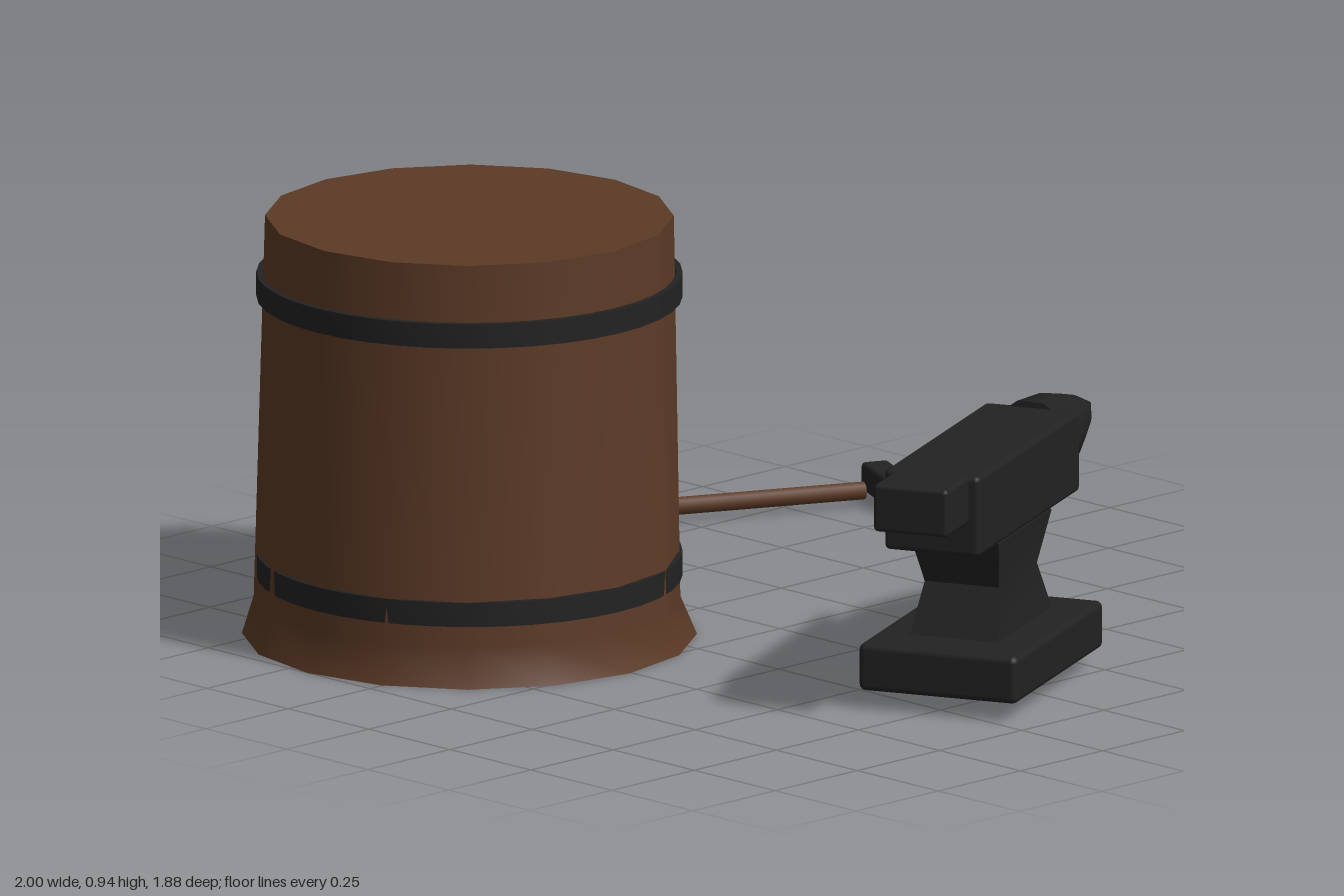
import * as THREE from 'three';
import { toCreasedNormals } from 'three/addons/utils/BufferGeometryUtils.js';
import { RoundedBoxGeometry } from 'three/addons/geometries/RoundedBoxGeometry.js';

const wood = new THREE.MeshStandardMaterial({ color: 0x5c3a26 });
wood.name = 'wood brown';
const iron = new THREE.MeshStandardMaterial({ color: 0x222222 });
iron.name = 'dark iron';

function add(parent, name, geometry, material, x = 0, y = 0, z = 0) {
  const mesh = new THREE.Mesh(geometry, material);
  mesh.name = name;
  mesh.position.set(x, y, z);
  parent.add(mesh);
  return mesh;
}

const lathe = (points, sides) =>
  new THREE.LatheGeometry(points.map(([r, y]) => new THREE.Vector2(r, y)), sides);

// Flared stump with 16 sides, slightly uneven just above the foot
function makeStump() {
  const stump = new THREE.Group();
  stump.name = 'stump';
  const bark = lathe([[0.493, 0.005], [0.459, 0.09], [0.443, 0.94]], 16);
  const p = bark.attributes.position;
  for (let i = 0; i < p.count; i++) {
    const y = p.getY(i);
    if (y < 0.05 || y > 0.5) continue;
    const a = Math.atan2(p.getX(i), p.getZ(i));
    const k = 1 + 0.009 * Math.sin(a * 5) + 0.007 * (1 - Math.cos(a));
    p.setXYZ(i, p.getX(i) * k, y, p.getZ(i) * k);
  }
  add(stump, 'stumpSide', bark, wood);
  add(stump, 'stumpTop', new THREE.CircleGeometry(0.443, 16), wood, 0, 0.94, 0).rotation.x = -Math.PI / 2;
  add(stump, 'stumpBottom', new THREE.CircleGeometry(0.493, 16), wood, 0, 0.005, 0).rotation.x = Math.PI / 2;

  // Iron hoops
  const h = 0.027;
  const hoop = toCreasedNormals(
    lathe([[0.448, -h], [0.462, -h], [0.462, h], [0.448, h], [0.448, -h]], 40), 0.6);
  add(stump, 'lowerBand', hoop, iron, 0, 0.164, 0);
  add(stump, 'upperBand', hoop, iron, 0, 0.787, 0);
  stump.position.set(-0.508, 0, -0.443);
  return stump;
}

function makeAnvil() {
  const anvil = new THREE.Group();
  anvil.name = 'anvil';
  add(anvil, 'anvilFoot', new RoundedBoxGeometry(0.545, 0.106, 0.367, 2, 0.015), iron, 0, 0.098, 0);
  add(anvil, 'anvilBody', new RoundedBoxGeometry(0.63, 0.18, 0.22, 2, 0.012), iron, 0.008, 0.466, 0);
  add(anvil, 'anvilHeel', new RoundedBoxGeometry(0.22, 0.106, 0.172, 2, 0.01), iron, -0.33, 0.503, 0);

  // Pinched waist: a box narrowed at its middle
  const waist = new THREE.BoxGeometry(0.33, 0.22, 0.205, 1, 2, 1);
  const p = waist.attributes.position;
  for (let i = 0; i < p.count; i++) {
    if (Math.abs(p.getY(i)) < 0.01) p.setXYZ(i, p.getX(i) * 0.71, 0, p.getZ(i) * 0.84);
  }
  add(anvil, 'anvilWaist', toCreasedNormals(waist, 0.3), iron, 0, 0.263, 0);

  // Tapered horn
  const horn = lathe([[0, 0], [0.096, 0], [0.082, 0.13], [0.056, 0.23], [0.03, 0.3], [0.001, 0.375]], 10);
  add(anvil, 'anvilHorn', toCreasedNormals(horn, 0.9), iron, 0.305, 0.478, 0).rotation.z = -Math.PI / 2;

  anvil.position.set(-0.047, 0, 0.668);
  anvil.rotation.y = THREE.MathUtils.degToRad(25);
  return anvil;
}

// Hammer lying on the ground, its handle along local x
function makeHammer() {
  const hammer = new THREE.Group();
  hammer.name = 'hammer';
  add(hammer, 'hammerHead', new RoundedBoxGeometry(0.063, 0.064, 0.19, 2, 0.01), iron, 0, 0.048, 0);
  add(hammer, 'hammerHandle', new THREE.CylinderGeometry(0.02, 0.02, 0.61, 8), wood, -0.36, 0.04, 0)
    .rotation.z = -Math.PI / 2;
  hammer.position.set(0.93, 0, -0.61);
  hammer.rotation.y = THREE.MathUtils.degToRad(-26);
  return hammer;
}

export function createModel() {
  const model = new THREE.Group();
  model.name = 'smithingSet';
  model.add(makeStump(), makeAnvil(), makeHammer());
  return model;
}
